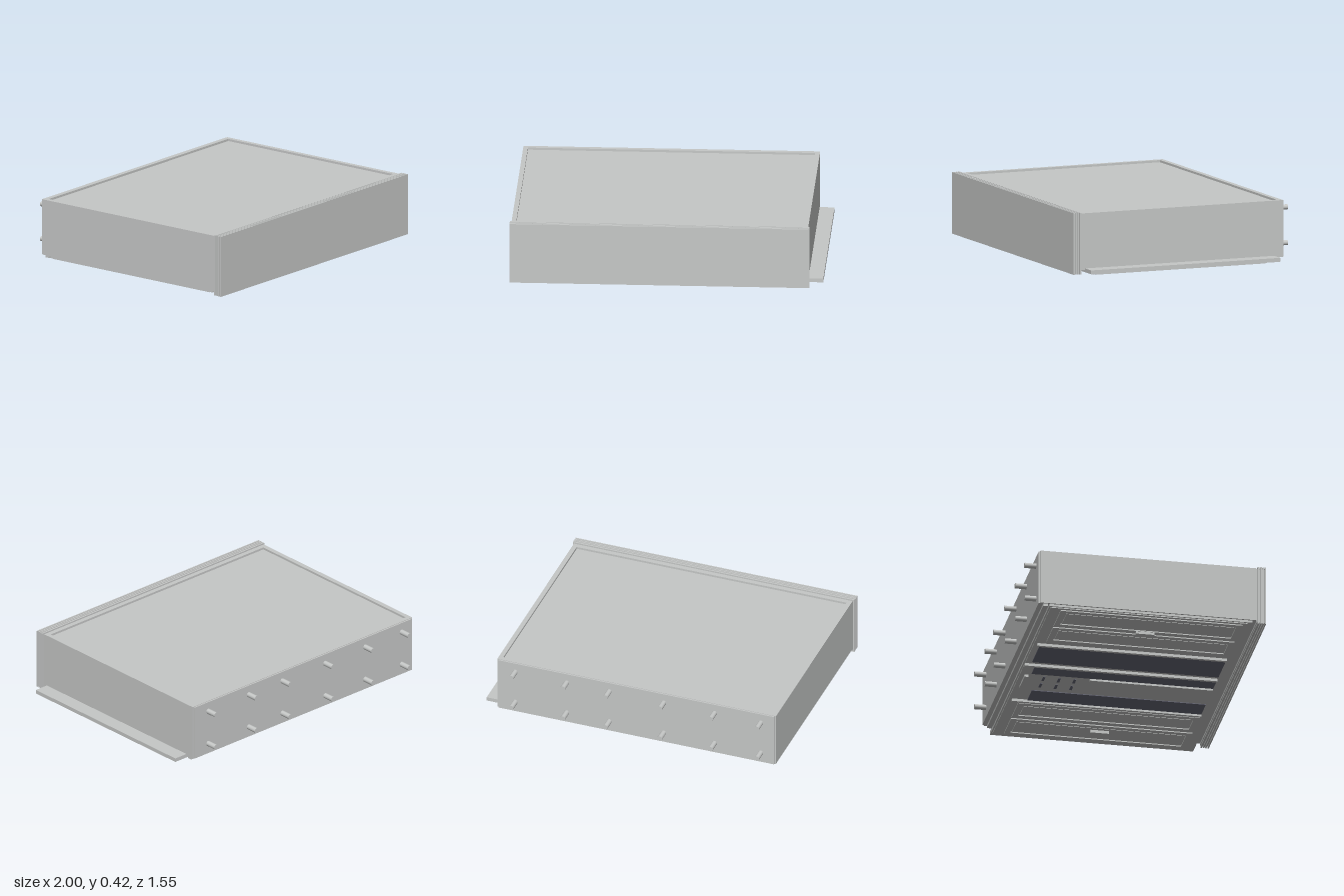
import * as THREE from 'three';

export function createModel() {
  const model = new THREE.Group();
  const steel = new THREE.MeshStandardMaterial({ color: 0xc6c8c7 });
  steel.name = 'light grey steel';
  const dark = new THREE.MeshStandardMaterial({ color: 0x696a78 });
  dark.name = 'dark slate grey';

  // Box from its minimum and maximum corners
  function box(name, x0, x1, y0, y1, z0, z1, material = steel, parent = model) {
    const mesh = new THREE.Mesh(new THREE.BoxGeometry(x1 - x0, y1 - y0, z1 - z0), material);
    mesh.position.set((x0 + x1) / 2, (y0 + y1) / 2, (z0 + z1) / 2);
    mesh.name = name;
    parent.add(mesh);
    return mesh;
  }

  function group(name) {
    const g = new THREE.Group();
    g.name = name;
    model.add(g);
    return g;
  }

  // Rectangular frame lying flat, with an open middle
  function frame(name, x0, x1, y0, y1, z0, z1, w) {
    const g = group(name);
    box('frameSide', x0, x0 + w, y0, y1, z0, z1, steel, g);
    box('frameSide', x1 - w, x1, y0, y1, z0, z1, steel, g);
    box('frameEnd', x0 + w, x1 - w, y0, y1, z0, z0 + w, steel, g);
    box('frameEnd', x0 + w, x1 - w, y0, y1, z1 - w, z1, steel, g);
  }

  // Main case, with a raised rim around the sunken top
  box('case', -0.99, 0.905, 0.045, 0.397, -0.69, 0.715);
  frame('topRim', -0.99, 0.905, 0.397, 0.411, -0.69, 0.715, 0.03);
  box('backPanel', -0.98, 0.895, 0.045, 0.408, -0.7, -0.69);

  // Front: thin plates separated by narrow grooves
  box('frontCore', -0.99, 0.905, 0.03, 0.405, 0.715, 0.768);
  const plates = [[0.72, 0.731], [0.737, 0.746], [0.751, 0.76], [0.766, 0.775]];
  for (const [z0, z1] of plates) box('frontPlate', -1, 0.915, 0.02, 0.417, z0, z1);

  // Two rows of pegs on the back
  const pegs = group('backPegs');
  const pegGeometry = new THREE.CylinderGeometry(0.017, 0.017, 0.085, 20).rotateX(Math.PI / 2);
  for (const x of [-0.89, -0.575, -0.23, 0.14, 0.43, 0.78]) {
    for (const y of [0.115, 0.345]) {
      const peg = new THREE.Mesh(pegGeometry, steel);
      peg.position.set(x, y, -0.7325);
      peg.name = 'peg';
      pegs.add(peg);
    }
  }

  // Base plate, wider than the case on one side
  box('basePlate', -0.98, 1, 0.03, 0.055, -0.63, 0.69);
  box('rearRail', -0.98, 0.9, 0.028, 0.048, -0.67, -0.64);
  box('underPlate', -0.97, 0.97, 0.024, 0.03, -0.62, 0.66);

  // Framed access doors under both sides
  for (const [x0, x1] of [[0.47, 0.69], [0.71, 0.95], [-0.69, -0.47], [-0.95, -0.71]]) {
    frame('doorFrame', x0, x1, 0.017, 0.024, -0.55, 0.63, 0.035);
    box('doorPanel', x0 + 0.045, x1 - 0.045, 0.019, 0.024, -0.505, 0.585);
  }
  for (const x of [-0.73, 0.79]) {
    box('doorHandle', x - 0.012, x + 0.012, 0, 0.024, -0.02, 0.1);
  }

  // Dark channels and the bars between them
  const channels = [[0.27, 0.42, -0.5], [-0.1, 0.025, -0.55], [-0.41, -0.15, -0.58]];
  for (const [x0, x1, z0] of channels) {
    box('darkChannel', x0, x1, 0.019, 0.024, z0, 0.63, dark);
  }
  for (const [x, z0] of [[0.43, -0.6], [0.035, -0.17], [-0.11, -0.62], [-0.42, -0.6]]) {
    box('channelBar', x - 0.01, x + 0.01, 0.006, 0.03, z0, 0.63);
  }

  // Fittings between the first two channels
  box('rearBracket', 0.05, 0.22, 0.008, 0.03, -0.59, -0.565);
  for (const x of [0.09, 0.19]) {
    for (const z of [-0.46, -0.36, -0.26]) {
      box('ventSlot', x - 0.03, x + 0.03, 0.02, 0.024, z - 0.008, z + 0.008, dark);
    }
  }
  return model;
}
